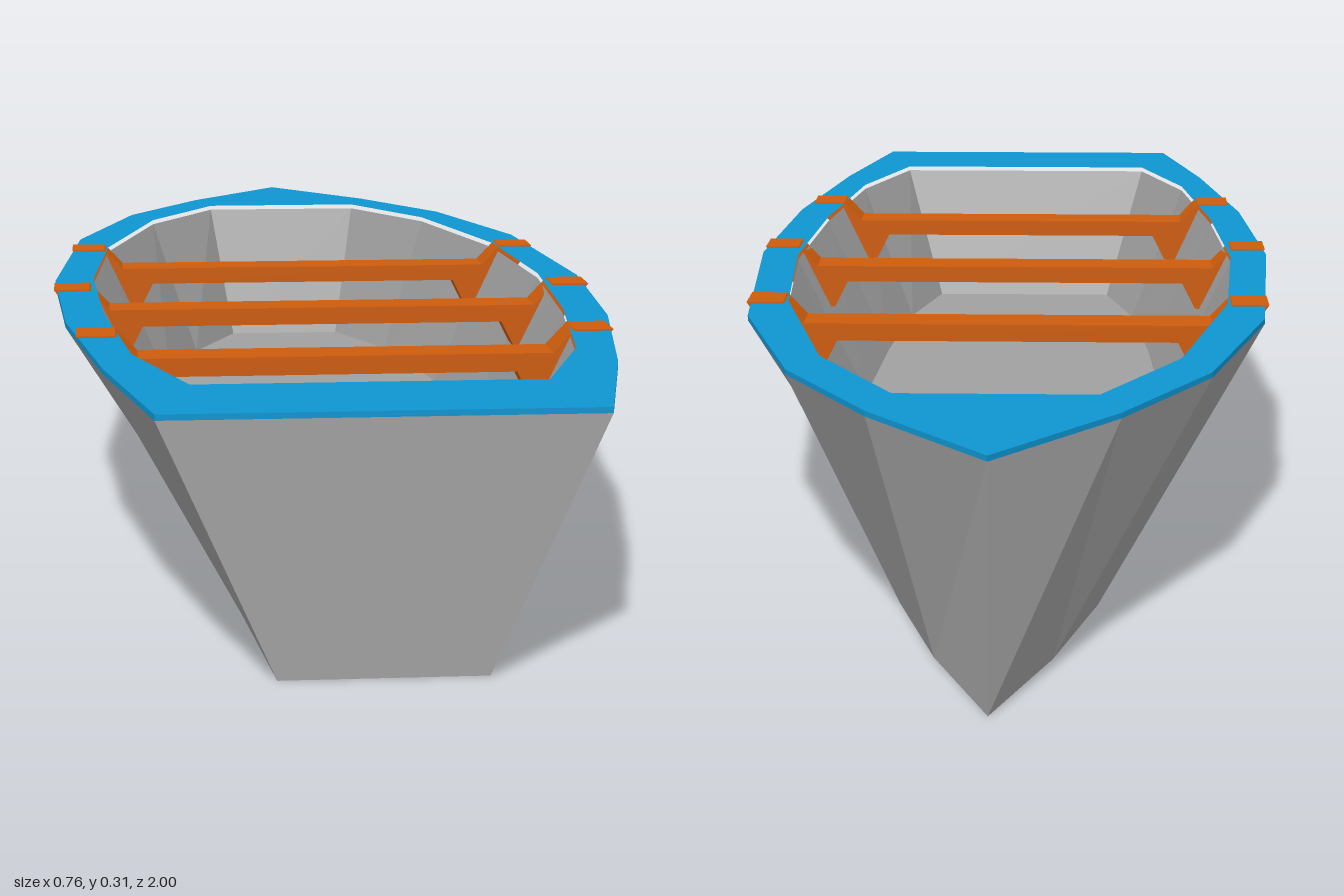
import * as THREE from 'three';

const RIM_BASE = 0.299, TOP = 0.306, FLOOR = 0.09;

// Half outlines [x, z] running from bow to stern
const gunwale = [[0, -1], [0.15, -0.82], [0.265, -0.63], [0.35, -0.34], [0.381, 0.08], [0.36, 0.42], [0.31, 0.74], [0.253, 1]];
const keel = gunwale.map(([x, z]) => [x * 0.474, z]);
const innerRim = [[0.125, -0.74], [0.23, -0.56], [0.305, -0.25], [0.326, 0.06], [0.31, 0.36], [0.275, 0.65], [0.21, 0.84]];
const floorEdge = [[0.09, -0.66], [0.16, -0.5], [0.21, -0.22], [0.225, 0.06], [0.212, 0.34], [0.19, 0.58], [0.148, 0.75]];

// Full closed loop: the half outline plus its mirror image
const mirrorLoop = (half) => [...half, ...half.filter(([x]) => x > 0).reverse().map(([x, z]) => [-x, z])];

const flatPoints = (half, sign) => mirrorLoop(half).map(([x, z]) => new THREE.Vector2(x, sign * z));

// Band of quads joining loop a at height ya to loop b at height yb
function band(halfA, ya, halfB, yb) {
  const a = mirrorLoop(halfA), b = mirrorLoop(halfB), pos = [];
  a.forEach((_, i) => {
    const j = (i + 1) % a.length;
    const a0 = [a[i][0], ya, a[i][1]], a1 = [a[j][0], ya, a[j][1]];
    const b0 = [b[i][0], yb, b[i][1]], b1 = [b[j][0], yb, b[j][1]];
    pos.push(...a0, ...b0, ...a1, ...b0, ...b1, ...a1);
  });
  const geo = new THREE.BufferGeometry();
  geo.setAttribute('position', new THREE.Float32BufferAttribute(pos, 3));
  geo.computeVertexNormals();
  return geo;
}

export function createModel() {
  const boat = new THREE.Group();
  boat.name = 'rowingBoat';
  const hullGrey = new THREE.MeshStandardMaterial({ name: 'hullGrey', color: 0xa0a0a0 });
  const rimBlue = new THREE.MeshStandardMaterial({ name: 'rimBlue', color: 0x0e94d0 });
  const seatOrange = new THREE.MeshStandardMaterial({ name: 'seatOrange', color: 0xcc5c0c });

  const add = (name, geo, material, parent = boat) => {
    const mesh = new THREE.Mesh(geo, material);
    mesh.name = name;
    parent.add(mesh);
    return mesh;
  };

  // Hull shell
  add('outerHull', band(keel, 0, gunwale, RIM_BASE), hullGrey);
  add('innerHull', band(innerRim, RIM_BASE, floorEdge, FLOOR), hullGrey);
  add('hullBottom', new THREE.ShapeGeometry(new THREE.Shape(flatPoints(keel, 1))).rotateX(Math.PI / 2), hullGrey);
  add('floor', new THREE.ShapeGeometry(new THREE.Shape(flatPoints(floorEdge, -1))).rotateX(-Math.PI / 2), hullGrey)
    .position.y = FLOOR;

  // Painted rim
  const rimShape = new THREE.Shape(flatPoints(gunwale, -1));
  rimShape.holes.push(new THREE.Path(flatPoints(innerRim, -1)));
  const rimGeo = new THREE.ExtrudeGeometry(rimShape, { depth: TOP - RIM_BASE, bevelEnabled: false });
  add('rim', rimGeo.rotateX(-Math.PI / 2), rimBlue).position.y = RIM_BASE;

  // Three bench seats hung from the rim: [z, outer half width, inward slope of the bracket]
  const width = 0.062;
  [[-0.238, 0.361, 0.66], [0.14, 0.381, 0.73], [0.505, 0.345, 0.8]].forEach(([z, xo, slope]) => {
    const seat = new THREE.Group();
    seat.name = 'seat';
    seat.position.z = z;
    boat.add(seat);
    add('seatBoard', new THREE.BoxGeometry(2 * (xo - 0.075), 0.024, width), seatOrange, seat).position.y = 0.266;

    // Bracket that clips over the rim and follows the hull side
    for (const side of [1, -1]) {
      const profile = [
        [xo, 0.308], [xo - 0.05, 0.308], [xo - 0.078, 0.278], [xo - 0.125, 0.255],
        [xo - 0.105, 0.215], [xo - slope * 0.098, 0.21],
      ].map(([x, y]) => new THREE.Vector2(side * x, y));
      const geo = new THREE.ExtrudeGeometry(new THREE.Shape(profile), { depth: width, bevelEnabled: false });
      add(side > 0 ? 'leftBracket' : 'rightBracket', geo.translate(0, 0, -width / 2), seatOrange, seat);
    }
  });

  return boat;
}
